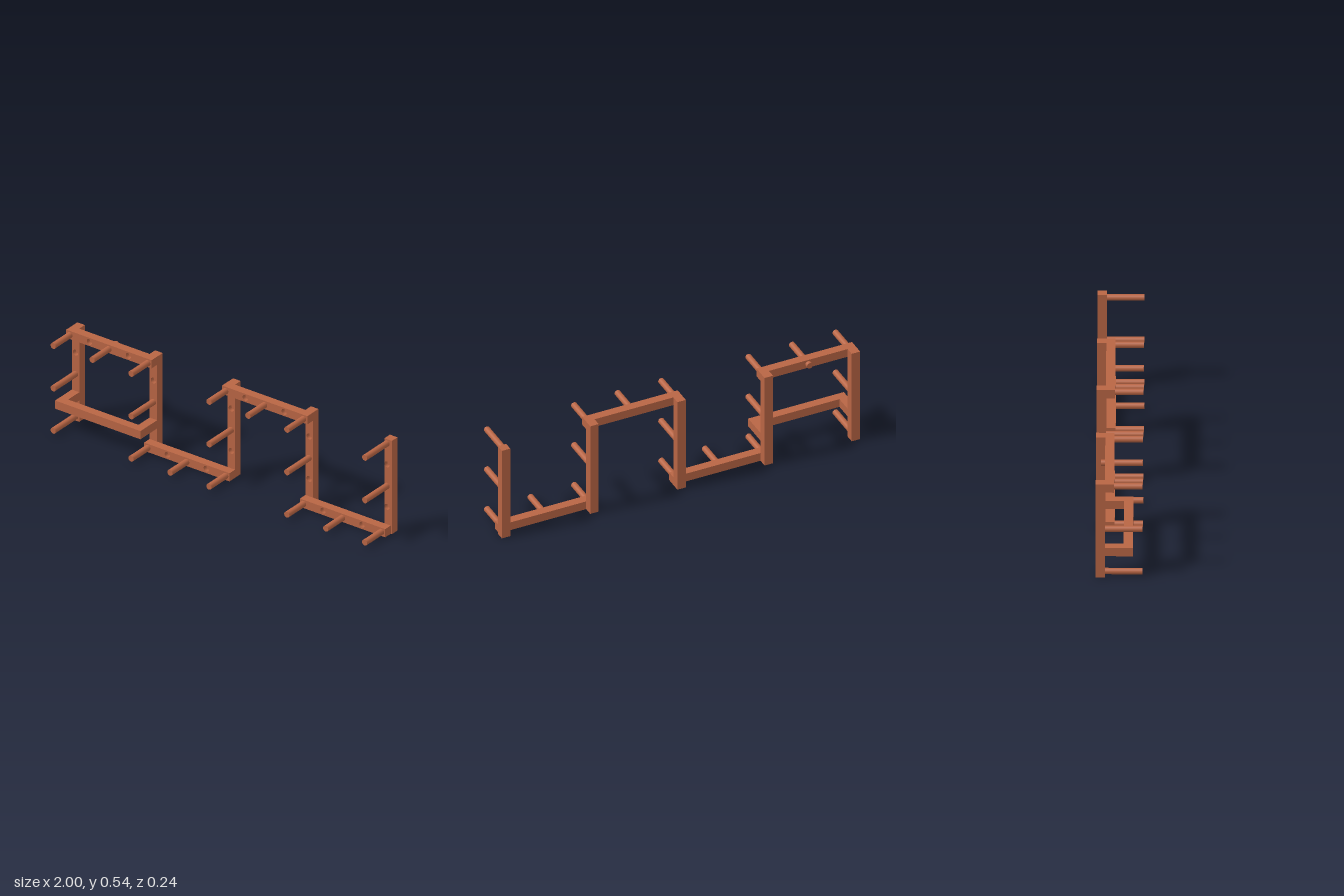
import * as THREE from 'three';

export function createModel() {
  const group = new THREE.Group();
  const wood = new THREE.MeshStandardMaterial({ color: 0xb86544 });
  const T = 0.047, H = 0.535, R = 0.0163;   // timber thickness, height, peg radius
  const BACK = -0.1175, STEP = 0.4865, X0 = -0.9765;
  const LOW = 0.025, MID = 0.268, HIGH = 0.512;
  const SOCKET = 0.024;                     // depth of the blind sockets

  const add = (name, geometry) => {
    const mesh = new THREE.Mesh(geometry, wood);
    mesh.name = name;
    group.add(mesh);
    return mesh;
  };

  const block = (name, x0, x1, y0, y1, z0, z1) =>
    add(name, new THREE.BoxGeometry(x1 - x0, y1 - y0, z1 - z0))
      .position.set((x0 + x1) / 2, (y0 + y1) / 2, (z0 + z1) / 2);

  // Timber with round blind sockets in its front face
  const drilled = (name, x0, x1, y0, y1, z0, sockets) => {
    const shape = new THREE.Shape([[x0, y0], [x1, y0], [x1, y1], [x0, y1]]
      .map(p => new THREE.Vector2(...p)));
    for (const [x, y] of sockets) {
      shape.holes.push(new THREE.Path().absarc(x, y, R, 0, Math.PI * 2, true));
    }
    const face = new THREE.ExtrudeGeometry(shape, { depth: SOCKET, bevelEnabled: false, curveSegments: 24 });
    add(name + 'Face', face).position.z = z0 + T - SOCKET;
    block(name + 'Core', x0, x1, y0, y1, z0, z0 + T - SOCKET);
  };

  const peg = (x, y, z0) => {
    const z1 = 0.1185;
    const g = new THREE.CylinderGeometry(R, R, z1 - z0, 24).rotateX(Math.PI / 2);
    add('peg', g).position.set(x, y, (z0 + z1) / 2);
  };

  // Five posts, each with three pegs and two empty sockets
  for (let i = 0; i < 5; i++) {
    const px = X0 + STEP * i;
    const x = i === 4 ? 1 - T / 2 : px;
    drilled('post', x - T / 2, x + T / 2, 0, H, BACK, [[px, 0.39], [px, 0.147]]);
    for (const y of [LOW, MID, HIGH]) peg(px, y, BACK + 0.02);
  }

  // Four rails in front of the posts, alternating high and low
  for (let i = 0; i < 4; i++) {
    const x = X0 + STEP * i, high = i % 2 === 0;
    const y0 = high ? H - T : 0, y = high ? HIGH : LOW;
    drilled('rail', x - T / 2, x + STEP + T / 2, y0, y0 + T, BACK + T,
      [[x + STEP / 4, y], [x + STEP * 3 / 4, y]]);
    // The first middle peg passes right through its rail
    peg(x + STEP / 2, y, i === 0 ? -0.09 : BACK + T + 0.01);
  }

  // Bar held forward of the first bay by two short arms
  const xa = X0 - T / 2, xb = X0 + STEP + T / 2, y0 = 0.123, y1 = y0 + T;
  block('frontBar', xa, xb, y0, y1, 0.0235, 0.0705);
  for (const x of [xa, xb - T]) block('barArm', x, x + T, y0, y1, BACK + T, 0.0235);

  return group;
}
